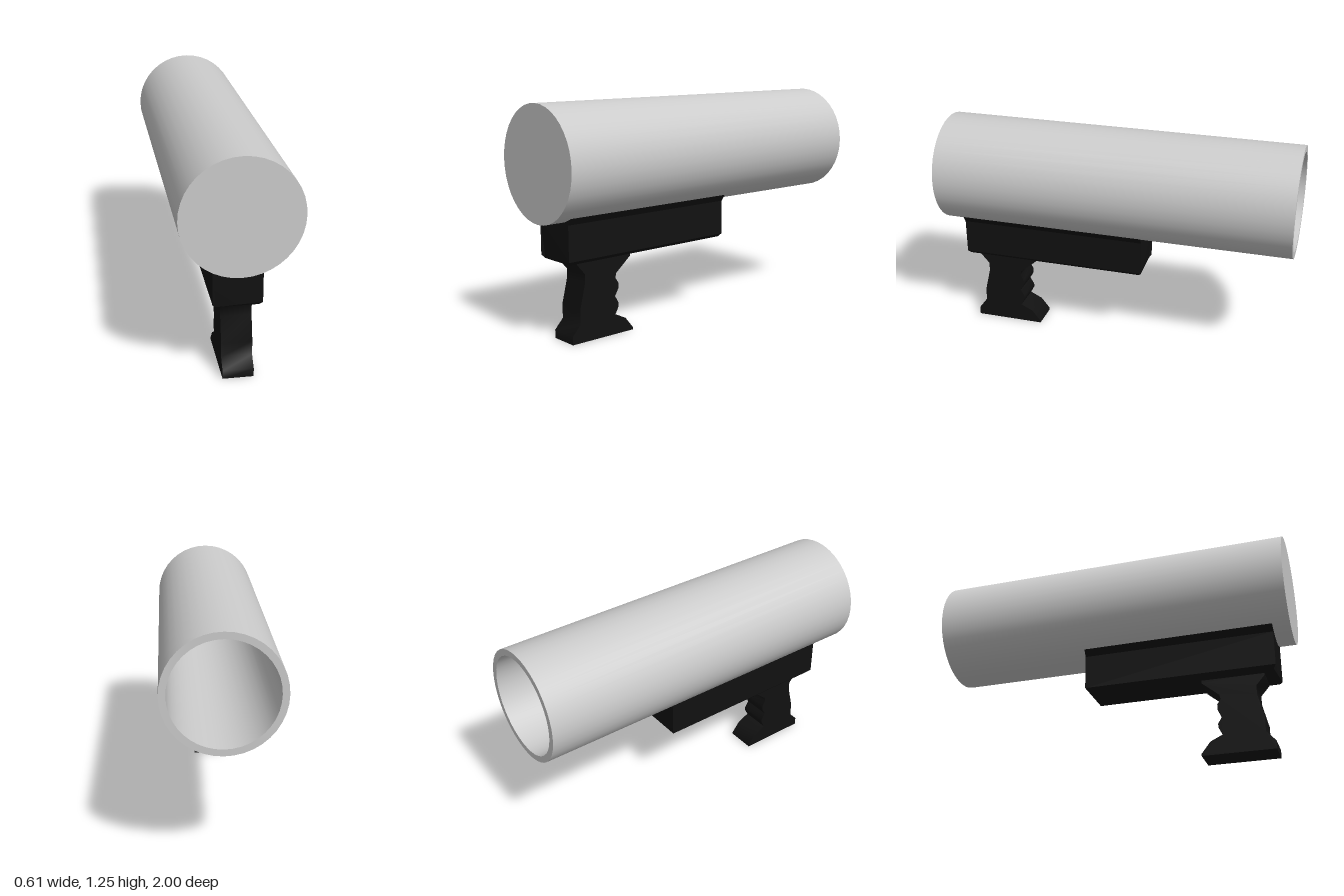
import * as THREE from 'three';
import { toCreasedNormals } from 'three/addons/utils/BufferGeometryUtils.js';

const grey = new THREE.MeshStandardMaterial({ color: 0xcccccc });
const black = new THREE.MeshStandardMaterial({ color: 0x111111 });

const AXIS_Y = 0.942;
const RADIUS = 0.305;

function part(name, geometry, material, crease = 0.6) {
  const mesh = new THREE.Mesh(toCreasedNormals(geometry, crease), material);
  mesh.name = name;
  return mesh;
}

const toPoints = (list) => list.map(([a, b]) => new THREE.Vector2(a, b));

// Hollow tube: closed at the front, open at the back
function makeTube() {
  const profile = toPoints([
    [0, 0.97], [0.27, 0.97], [0.27, -1], [RADIUS, -1], [RADIUS, 1], [0, 1],
  ]);
  const geometry = new THREE.LatheGeometry(profile, 40);
  geometry.rotateX(Math.PI / 2).translate(0, AXIS_Y, 0);
  return part('tube', geometry, grey);
}

// Block whose top is scooped out to cradle the tube
function makeMount() {
  const zBack = -0.16, zFront = 0.905, chamfer = 0.014;
  const spread = 0.515;
  const shape = new THREE.Shape();
  shape.moveTo(-0.11, 0.43);
  shape.lineTo(0.11, 0.43);
  shape.lineTo(0.126, 0.448);
  shape.lineTo(0.126, 0.64);
  shape.absarc(0, AXIS_Y, RADIUS - 0.001, -Math.PI / 2 + spread, -Math.PI / 2 - spread, true);
  shape.lineTo(-0.126, 0.64);
  shape.lineTo(-0.126, 0.448);
  shape.closePath();
  const geometry = new THREE.ExtrudeGeometry(shape, {
    depth: zFront - zBack, bevelEnabled: false, curveSegments: 12,
  });
  geometry.translate(0, 0, zBack);
  // Chamfer the bottom edge at both ends
  const pos = geometry.attributes.position;
  for (let i = 0; i < pos.count; i++) {
    if (pos.getY(i) < 0.44) {
      pos.setZ(i, pos.getZ(i) > 0.3 ? zFront - chamfer : zBack + chamfer);
    }
  }
  return part('mount', geometry, black, 0.4);
}

// Pistol grip: side profile (z, y) with finger grooves and a flared foot
function makeGrip() {
  const shape = new THREE.Shape(toPoints([
    [0.87, 0], [0.87, 0.045], [0.82, 0.1], [0.82, 0.18], [0.787, 0.315],
    [0.787, 0.365], [0.835, 0.42], [0.835, 0.44],
    [0.49, 0.44], [0.49, 0.415], [0.585, 0.335], [0.59, 0.31],
    [0.571, 0.28], [0.571, 0.25], [0.594, 0.21], [0.571, 0.17],
    [0.571, 0.15], [0.594, 0.108], [0.525, 0.075], [0.475, 0.012], [0.475, 0],
  ]));
  const geometry = new THREE.ExtrudeGeometry(shape, { depth: 0.162, bevelEnabled: false });
  geometry.rotateY(-Math.PI / 2).translate(0.094, 0, 0);
  return part('grip', geometry, black, 0.9);
}

export function createModel() {
  const model = new THREE.Group();
  model.name = 'shoulderLauncher';
  model.add(makeTube(), makeMount(), makeGrip());
  return model;
}
